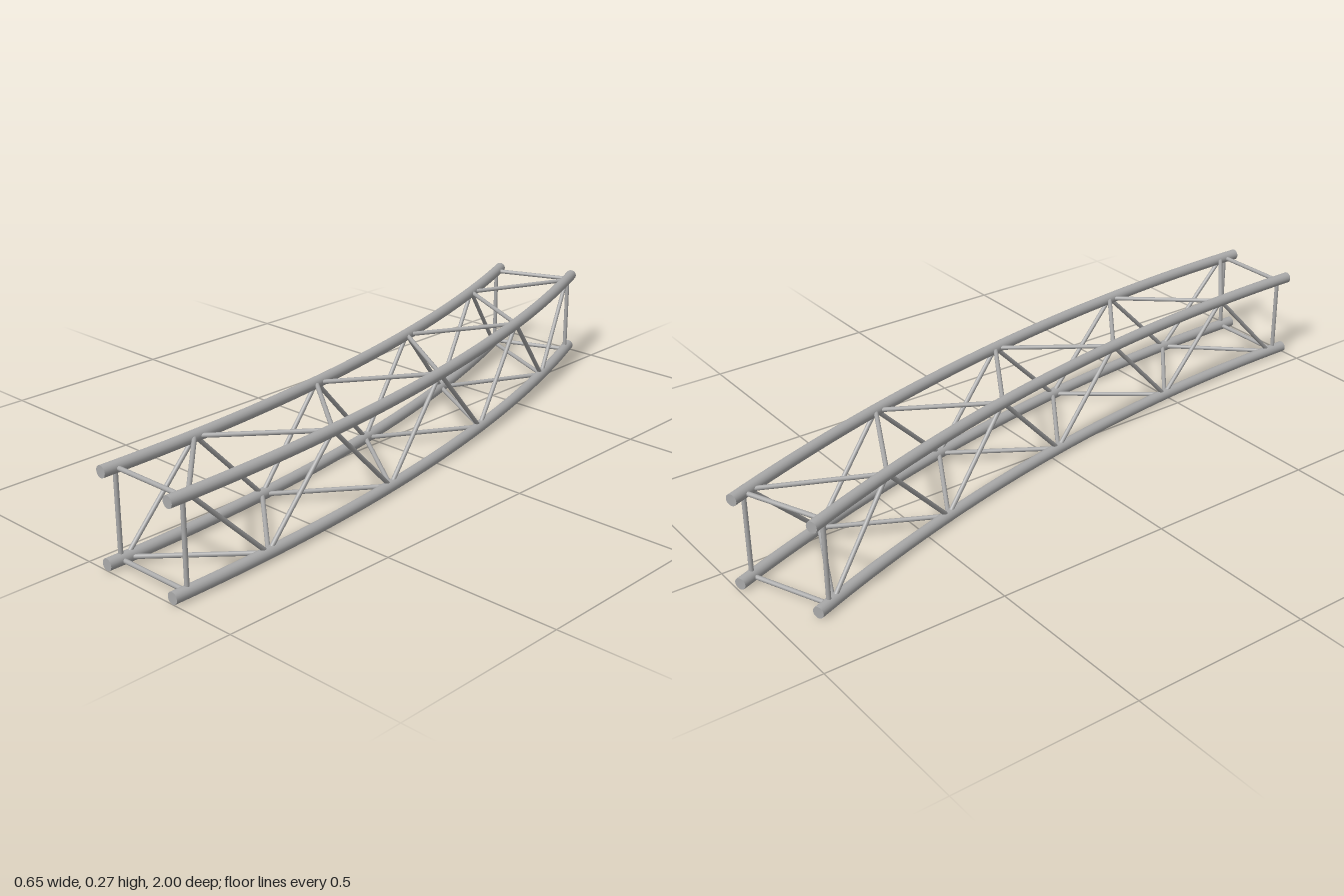
import * as THREE from 'three';

// Curved box truss: four arc chords swept about a vertical axis, laced on all four faces.
const SWEEP = Math.PI / 8;
const OUTER = 5.21, INNER = 4.973;       // chord radii in plan
const CENTRE_X = -4.903, FRONT_Z = 1;    // centre of the arcs
const LOW = 0.016, HIGH = 0.253;         // chord heights
const CHORD_R = 0.016, STRUT_R = 0.0062;
const PANELS = 8;

const steel = new THREE.MeshStandardMaterial({ color: 0xaaaaaa });
steel.name = 'steelGrey';

function pointAt(radius, angle, y) {
  return new THREE.Vector3(
    CENTRE_X + radius * Math.cos(angle), y, FRONT_Z - radius * Math.sin(angle));
}

function addMesh(parent, name, geometry) {
  const mesh = new THREE.Mesh(geometry, steel);
  mesh.name = name;
  parent.add(mesh);
  return mesh;
}

// Main tube with closed ends
function addChord(parent, name, radius, y) {
  const chord = new THREE.Group();
  chord.name = name;
  const tube = new THREE.TorusGeometry(radius, CHORD_R, 20, 40, SWEEP);
  tube.rotateX(-Math.PI / 2);
  addMesh(chord, name + 'Tube', tube).position.set(CENTRE_X, y, FRONT_Z);
  for (const [angle, turn, end] of [[0, 0, 'Front'], [SWEEP, Math.PI + SWEEP, 'Back']]) {
    const cap = addMesh(chord, name + end + 'Cap', new THREE.CircleGeometry(CHORD_R, 20));
    cap.position.copy(pointAt(radius, angle, y));
    cap.rotation.y = turn;
  }
  parent.add(chord);
}

// Thin round bar between two points
function addStrut(parent, name, a, b) {
  const dir = b.clone().sub(a);
  const bar = addMesh(parent, name,
    new THREE.CylinderGeometry(STRUT_R, STRUT_R, dir.length(), 12, 1, true));
  bar.position.copy(a).add(b).multiplyScalar(0.5);
  bar.quaternion.setFromUnitVectors(new THREE.Vector3(0, 1, 0), dir.normalize());
}

// Zigzag that alternates between two chords, starting on the first
function addLacing(parent, name, first, second) {
  const lacing = new THREE.Group();
  lacing.name = name;
  const margin = 0.0115, step = (SWEEP - 2 * margin) / PANELS;
  const node = k => {
    const [radius, y] = k % 2 ? second : first;
    return pointAt(radius, margin + k * step, y);
  };
  for (let k = 0; k < PANELS; k++) addStrut(lacing, 'diagonal', node(k), node(k + 1));
  parent.add(lacing);
}

// Square frame of two posts and two cross bars
function addEndFrame(parent, name, angle) {
  const frame = new THREE.Group();
  frame.name = name;
  for (const r of [INNER, OUTER]) addStrut(frame, 'post', pointAt(r, angle, LOW), pointAt(r, angle, HIGH));
  for (const y of [LOW, HIGH]) addStrut(frame, 'crossBar', pointAt(INNER, angle, y), pointAt(OUTER, angle, y));
  parent.add(frame);
}

export function createModel() {
  const truss = new THREE.Group();
  truss.name = 'curvedTruss';

  addChord(truss, 'innerLowerChord', INNER, LOW);
  addChord(truss, 'innerUpperChord', INNER, HIGH);
  addChord(truss, 'outerLowerChord', OUTER, LOW);
  addChord(truss, 'outerUpperChord', OUTER, HIGH);

  addLacing(truss, 'outerLacing', [OUTER, HIGH], [OUTER, LOW]);
  addLacing(truss, 'innerLacing', [INNER, LOW], [INNER, HIGH]);
  addLacing(truss, 'topLacing', [OUTER, HIGH], [INNER, HIGH]);
  addLacing(truss, 'bottomLacing', [INNER, LOW], [OUTER, LOW]);

  addEndFrame(truss, 'frontFrame', 0.0083);
  addEndFrame(truss, 'backFrame', SWEEP - 0.0083);
  return truss;
}
